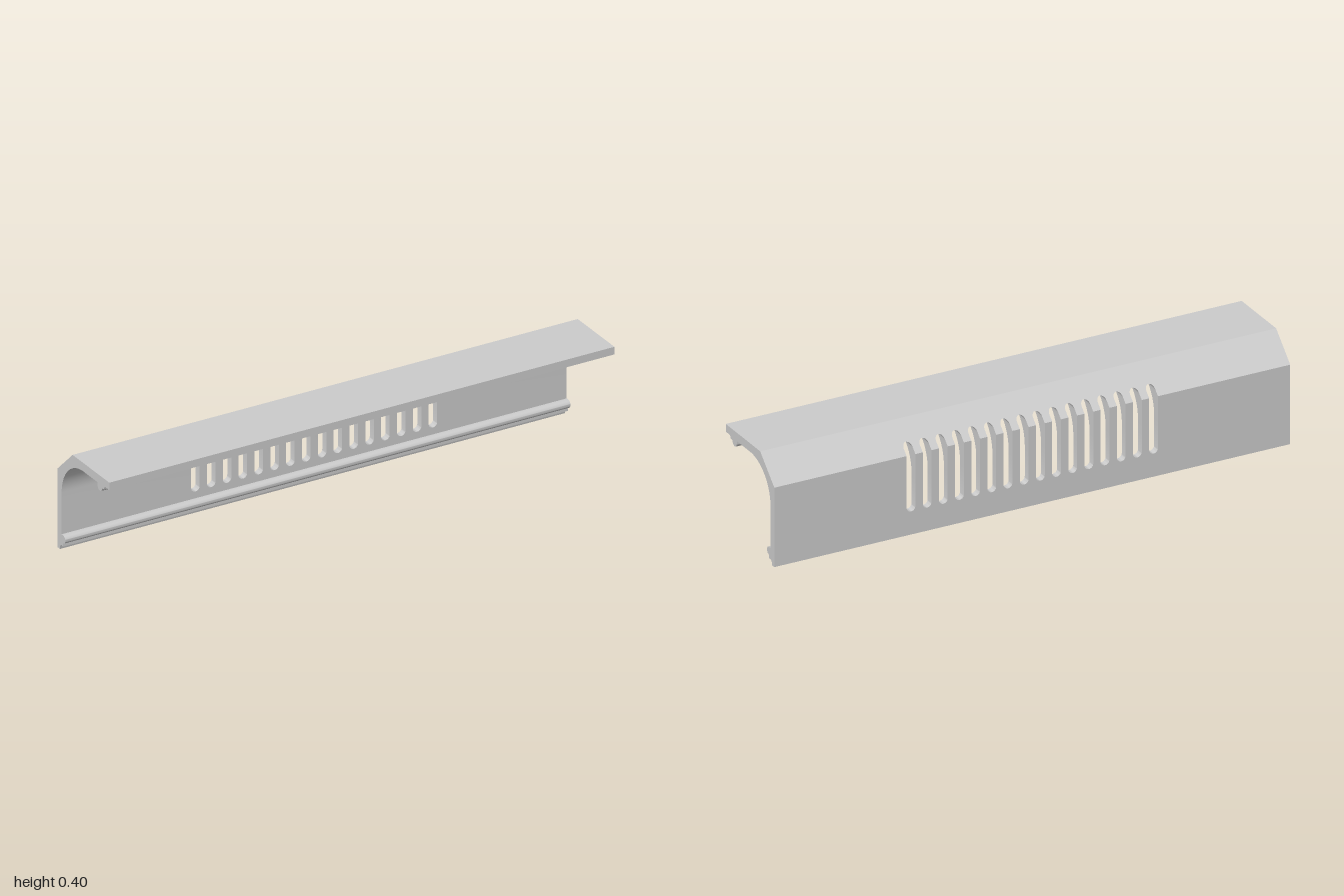
import * as THREE from 'three';
import { mergeGeometries, toCreasedNormals } from 'three/addons/utils/BufferGeometryUtils.js';

// Slots
const COUNT = 16, PITCH = 0.0627, R = 0.017;
const Y0 = 0.087, Y1 = 0.335;
// Inner cove: centre height and radius; u is the distance towards the back (-z)
const ARC_Y = 0.218, ARC_R = 0.145;

const innerU = y => (y < ARC_Y ? ARC_R : Math.sqrt(ARC_R ** 2 - (y - ARC_Y) ** 2));
const outerU = y => (y < 0.3 ? 0.172 : 0.172 - (y - 0.3) * (0.1 / 0.095));

// Extrude a (u, y) profile along the full length
function extrudeProfile(shape) {
  const g = new THREE.ExtrudeGeometry(shape, { depth: 2, bevelEnabled: false, curveSegments: 20 });
  g.translate(0, 0, -1).rotateY(Math.PI / 2);
  g.deleteAttribute('uv');
  g.deleteAttribute('normal');
  return g;
}

// Top flange with hooked front lip, snap bead and chamfered back corner
function upperProfile() {
  const s = new THREE.Shape();
  s.moveTo(-0.172, 0.395);
  s.lineTo(-0.172, 0.366);
  s.lineTo(-0.149, 0.366);
  s.absarc(-0.149, 0.354, 0.012, Math.PI / 2, 0, true);
  s.lineTo(-0.124, 0.354);
  s.absarc(-0.109, 0.352, 0.015, Math.PI, Math.PI * 2, false);
  s.lineTo(-0.094, 0.363);
  s.lineTo(0, 0.363);
  s.absarc(0, ARC_Y, ARC_R, Math.PI / 2, Math.asin((Y1 - ARC_Y) / ARC_R), true);
  s.lineTo(outerU(Y1), Y1);
  s.lineTo(0.072, 0.395);
  return s;
}

// Foot of the back wall with its snap bead
function lowerProfile() {
  const s = new THREE.Shape();
  s.moveTo(0.172, 0);
  s.lineTo(0.172, Y0);
  s.lineTo(0.145, Y0);
  s.lineTo(0.145, 0.061);
  s.lineTo(0.135, 0.061);
  s.absarc(0.135, 0.046, 0.015, Math.PI / 2, Math.PI * 1.5, false);
  s.lineTo(0.135, 0.018);
  s.lineTo(0.142, 0.018);
  s.absarc(0.142, 0.004, 0.014, Math.PI / 2, 0, true);
  s.lineTo(0.156, 0);
  return s;
}

// Heights of the wall sections, with the slot's half width at each
function wallLevels() {
  const levels = [[0.3, R]];
  for (let i = 0; i <= 8; i++) {
    const t = (i / 8) * Math.PI / 2;
    const w = R * Math.sin(t), d = R * (1 - Math.cos(t));
    levels.push([Y0 + d, w], [Y1 - d, w]);
  }
  for (let i = 0; i < 10; i++) levels.push([ARC_Y + (Y1 - R - ARC_Y) * i / 10, R]);
  return levels.sort((a, b) => a[0] - b[0]);
}

// Solid wall between two neighbouring slots, lofted upwards
function wallPiece(k, levels) {
  const slotX = i => (i - (COUNT - 1) / 2) * PITCH;
  const pos = [], index = [];
  levels.forEach(([y, w], n) => {
    const l = k === 0 ? -1 : slotX(k - 1) + w;
    const r = k === COUNT ? 1 : slotX(k) - w;
    const back = -outerU(y), front = -innerU(y);
    pos.push(l, y, back, r, y, back, r, y, front, l, y, front);
    if (n === 0) return;
    for (let i = 0; i < 4; i++) {
      const a = (n - 1) * 4 + i, b = (n - 1) * 4 + (i + 1) % 4;
      index.push(a, a + 4, b + 4, a, b + 4, b);
    }
  });
  const g = new THREE.BufferGeometry();
  g.setAttribute('position', new THREE.Float32BufferAttribute(pos, 3));
  g.setIndex(index);
  return g.toNonIndexed();
}

export function createModel() {
  const group = new THREE.Group();
  group.name = 'ventedCoverRail';
  const levels = wallLevels();
  const parts = [extrudeProfile(upperProfile()), extrudeProfile(lowerProfile())];
  for (let k = 0; k <= COUNT; k++) parts.push(wallPiece(k, levels));

  // One merged body keeps the shading continuous across the joints
  const body = new THREE.Mesh(
    toCreasedNormals(mergeGeometries(parts), 0.45),
    new THREE.MeshStandardMaterial({ color: 0xcccccc })
  );
  body.name = 'slottedCover';
  group.add(body);
  return group;
}
